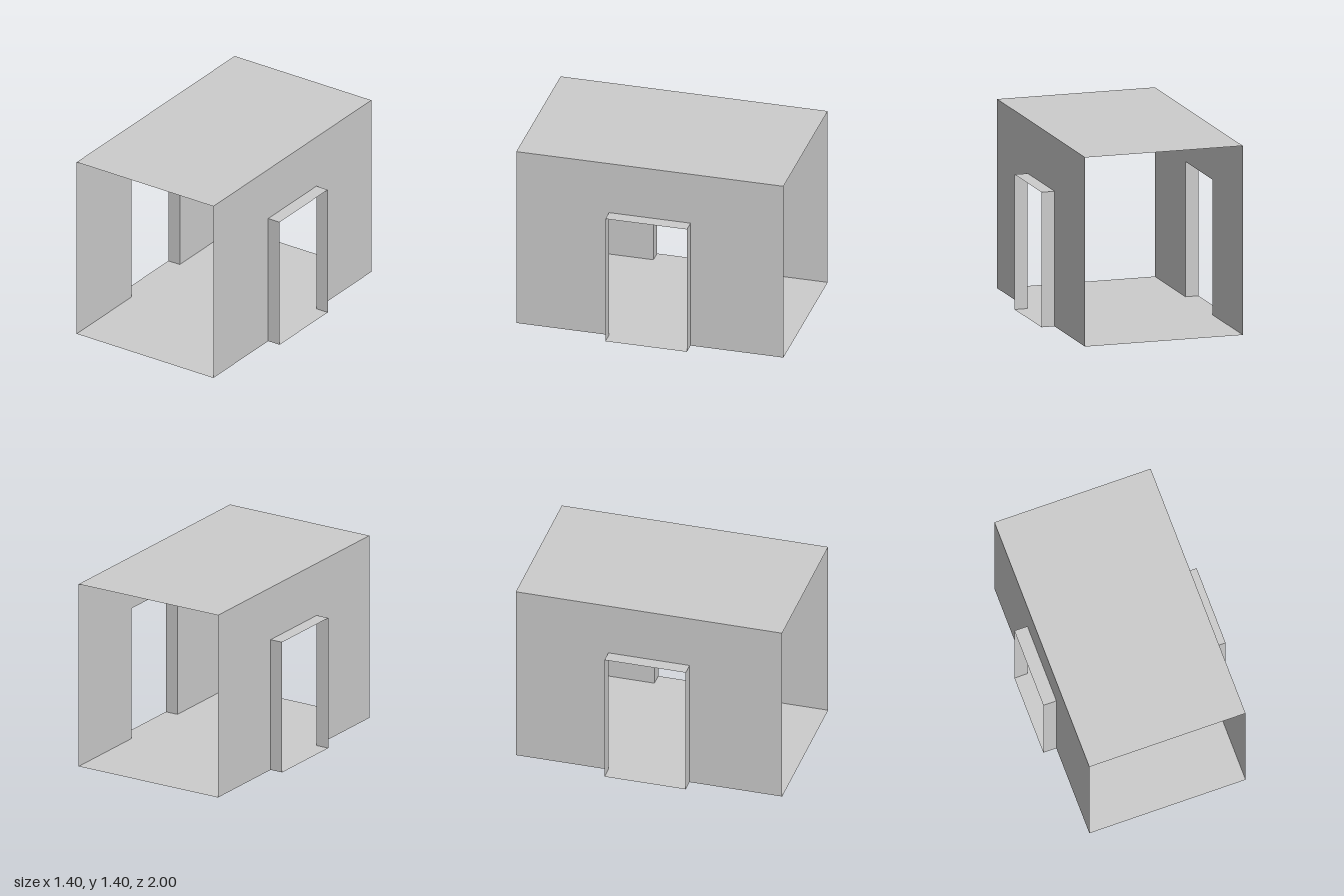
import * as THREE from 'three';

const W = 0.6, H = 1.4, L = 1;            // half width, height, half length
const DOOR = 0.305, DOOR_H = 1, DEPTH = 0.1; // door half width, height, frame depth

const material = new THREE.MeshStandardMaterial({
  color: 0xcccccc, side: THREE.DoubleSide, flatShading: true,
});

function add(parent, name, geometry) {
  const mesh = new THREE.Mesh(geometry, material);
  mesh.name = name;
  parent.add(mesh);
  return mesh;
}

// Horizontal sheet facing up
const slab = (w, d) => new THREE.PlaneGeometry(w, d).rotateX(-Math.PI / 2);

// Wall, doorway and its projecting frame for one side (+1 left, -1 right)
function createSide(side) {
  const group = new THREE.Group();
  group.name = side > 0 ? 'leftSide' : 'rightSide';

  // Wall sheet with a doorway cut down to the ground
  const outline = [
    [-L, 0], [-DOOR, 0], [-DOOR, DOOR_H], [DOOR, DOOR_H],
    [DOOR, 0], [L, 0], [L, H], [-L, H],
  ].map(([x, y]) => new THREE.Vector2(x, y));
  const wall = new THREE.ShapeGeometry(new THREE.Shape(outline));
  wall.rotateY(side * Math.PI / 2);
  add(group, 'wall', wall).position.x = side * W;

  // Thin frame standing out from the doorway
  const x = side * (W + DEPTH / 2);
  for (const z of [-DOOR, DOOR]) {
    const jamb = new THREE.PlaneGeometry(DEPTH, DOOR_H);
    if (z < 0) jamb.rotateY(Math.PI);
    add(group, z > 0 ? 'frontJamb' : 'backJamb', jamb).position.set(x, DOOR_H / 2, z);
  }
  add(group, 'lintel', slab(DEPTH, 2 * DOOR)).position.set(x, DOOR_H, 0);
  add(group, 'threshold', slab(DEPTH, 2 * DOOR)).position.set(x, 0, 0);
  return group;
}

export function createModel() {
  const model = new THREE.Group();
  model.name = 'corridorJunction';

  // Floor and ceiling, open at the front and back
  add(model, 'floor', slab(2 * W, 2 * L));
  add(model, 'ceiling', slab(2 * W, 2 * L)).position.y = H;

  for (const side of [1, -1]) model.add(createSide(side));
  return model;
}
